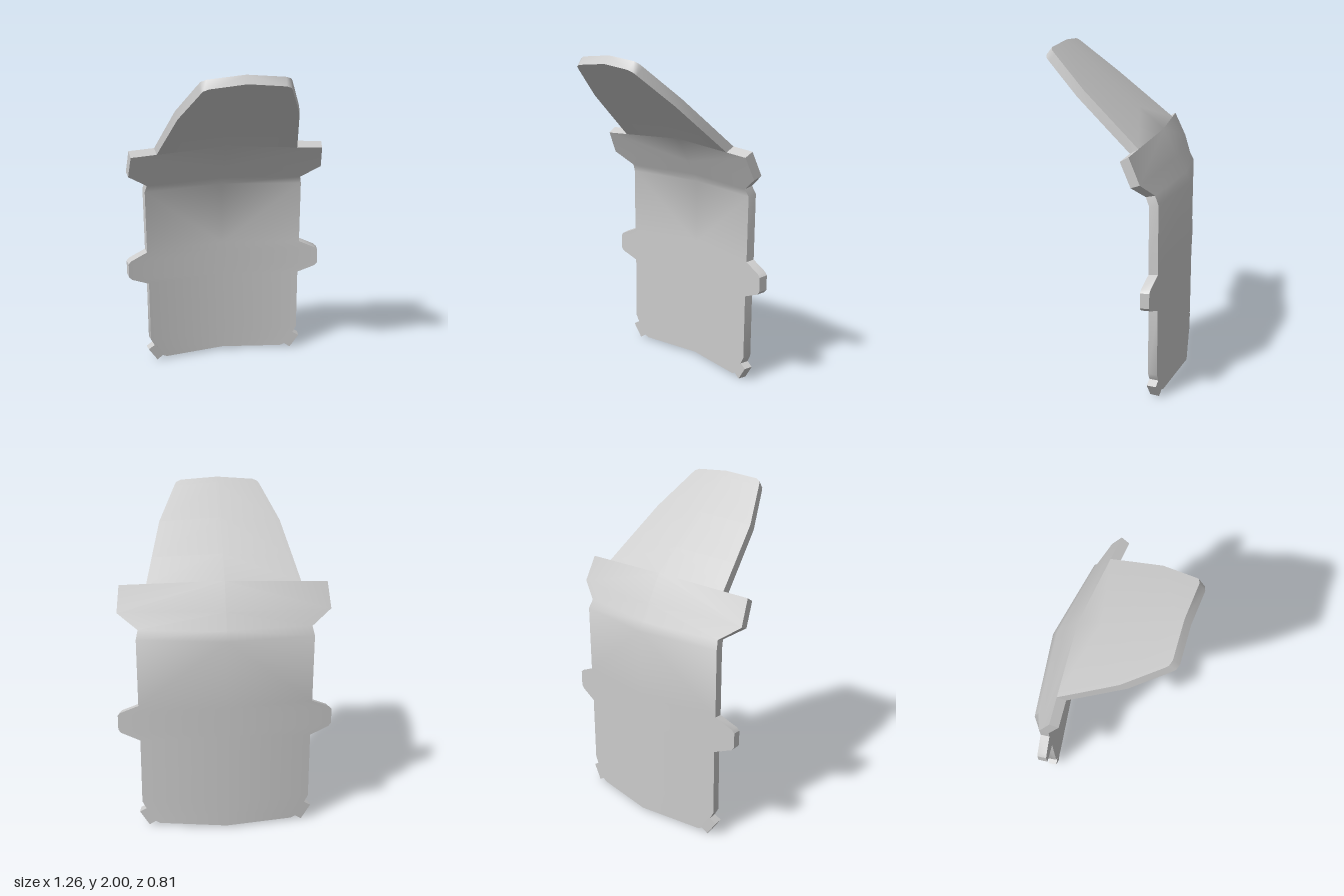
import * as THREE from 'three';
import { toCreasedNormals } from 'three/addons/utils/BufferGeometryUtils.js';

// Centre spine: height, back z, sideways slope of y and z, then y and z of the thickness
const SPINE = [
  [0, -0.40, 0, 0.155, 0, 0.055],
  [1.19, -0.40, 0, 0.155, -0.01, 0.055],
  [1.5, -0.23, -0.045, 0.09, -0.03, 0.05],
  [2.0, 0.36, -0.08, 0.05, -0.045, 0.038],
];

// Outline of one half, bottom to top: [height on the spine, half width]
const OUTLINE = [
  [0.016, 0.40], [0.03, 0.43], [0.11, 0.48], [0.16, 0.505],
  [0.565, 0.505], [0.61, 0.615], [0.63, 0.632], [0.72, 0.632], [0.738, 0.615], [0.785, 0.51],
  [1.19, 0.512], [1.245, 0.50], [1.34, 0.617], [1.5, 0.602], [1.5, 0.445],
  [1.623, 0.41], [1.795, 0.36], [1.972, 0.262], [1.99, 0.25], [2.0, 0.22],
];

// Small angled lug at the bottom corner, counterclockwise from the front
const LUG = [[0.465, 0.003], [0.522, 0.09], [0.475, 0.118], [0.42, 0.034]];

// Point on the bent, V-shaped plate: x across, v up the spine
function point(x, v, front) {
  let i = 0;
  while (i < SPINE.length - 2 && v > SPINE[i + 1][0]) i++;
  const a = SPINE[i], b = SPINE[i + 1];
  const t = (v - a[0]) / (b[0] - a[0]);
  const [y, z, dy, dz, oy, oz] = a.map((n, k) => n + (b[k] - n) * t);
  return front
    ? [x > 0 ? x - 0.008 : 0, y + dy * x + oy, z + dz * x + oz]
    : [x, y + dy * x, z + dz * x];
}

// Collects quads and builds a mesh; mirrored copies have their winding reversed
function buildMesh(name, quads, sides) {
  const pos = [];
  for (const side of sides) {
    for (const [a, b, c, d] of quads) {
      const order = side > 0 ? [a, b, c, a, c, d] : [a, c, b, a, d, c];
      for (const p of order) pos.push(p[0] * side, p[1], p[2]);
    }
  }
  const geo = new THREE.BufferGeometry();
  geo.setAttribute('position', new THREE.Float32BufferAttribute(pos, 3));
  const mesh = new THREE.Mesh(
    toCreasedNormals(geo, 0.7),
    new THREE.MeshStandardMaterial({ color: 0xcccccc })
  );
  mesh.name = name;
  return mesh;
}

// Wall between front and back along the edge a to b
const wall = ([xa, va], [xb, vb]) => [
  point(xa, va, true), point(xa, va, false), point(xb, vb, false), point(xb, vb, true),
];

function plateQuads() {
  const quads = [];
  for (let i = 0; i < OUTLINE.length - 1; i++) {
    const [v0, w0] = OUTLINE[i], [v1, w1] = OUTLINE[i + 1];
    if (v1 > v0) {
      const face = (f) => [point(0, v0, f), point(w0, v0, f), point(w1, v1, f), point(0, v1, f)];
      quads.push(face(true), face(false).reverse());
    }
    quads.push(wall([w0, v0], [w1, v1]));
  }
  // Bottom and top edges
  const [vb, wb] = OUTLINE[0], [vt, wt] = OUTLINE[OUTLINE.length - 1];
  quads.push(wall([0, vb], [wb, vb]), wall([wt, vt], [0, vt]));
  return quads;
}

function lugQuads() {
  const face = (f) => LUG.map(([x, v]) => point(x, v, f));
  return [face(true), face(false).reverse(), ...LUG.map((p, i) => wall(p, LUG[(i + 1) % 4]))];
}

export function createModel() {
  const group = new THREE.Group();
  group.name = 'bentPanel';
  group.add(buildMesh('panel', plateQuads(), [1, -1]));
  group.add(buildMesh('leftCornerLug', lugQuads(), [1]));
  group.add(buildMesh('rightCornerLug', lugQuads(), [-1]));
  return group;
}
